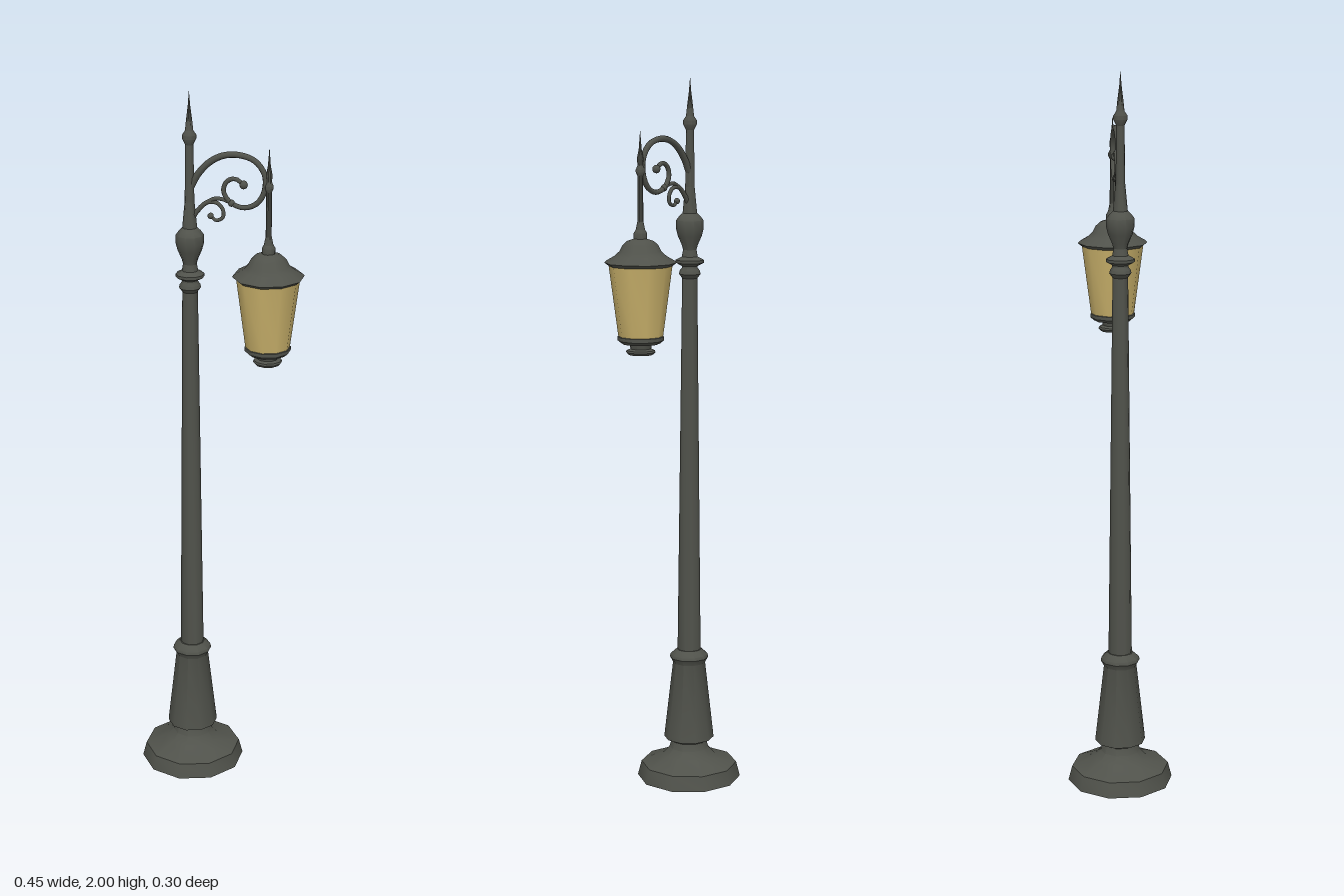
import * as THREE from 'three';
import { toCreasedNormals } from 'three/addons/utils/BufferGeometryUtils.js';

const POST_X = -0.085;
const LAMP_X = 0.132;

const iron = new THREE.MeshStandardMaterial({ color: 0x50524b });
iron.name = 'dark iron';
const glass = new THREE.MeshStandardMaterial({ color: 0xc8b06a });
glass.name = 'amber glass';

export function createModel() {
  const model = new THREE.Group();
  model.name = 'streetLamp';

  const add = (name, geometry, material, x = 0, y = 0) => {
    const mesh = new THREE.Mesh(geometry, material);
    mesh.name = name;
    mesh.position.set(x, y, 0);
    model.add(mesh);
    return mesh;
  };

  // Ten-sided turned part; profile is [radius, height] from bottom to top
  const turned = (name, profile, x, material = iron) => {
    const points = profile.map(([r, y]) => new THREE.Vector2(r, y));
    const geometry = toCreasedNormals(new THREE.LatheGeometry(points, 10), 0.68);
    return add(name, geometry, material, x);
  };

  // Rod bent through [x, y] points, thinning towards its end
  const scroll = (name, points, r0, r1) => {
    const curve = new THREE.CatmullRomCurve3(points.map(([x, y]) => new THREE.Vector3(x, y, 0)));
    const rows = 48, sides = 8;
    const geometry = new THREE.TubeGeometry(curve, rows, 1, sides);
    const pos = geometry.attributes.position;
    const centre = new THREE.Vector3(), p = new THREE.Vector3();
    for (let i = 0; i < pos.count; i++) {
      const t = Math.floor(i / (sides + 1)) / rows;
      curve.getPointAt(t, centre);
      p.fromBufferAttribute(pos, i).sub(centre).multiplyScalar(r0 + (r1 - r0) * t).add(centre);
      pos.setXYZ(i, p.x, p.y, p.z);
    }
    add(name, geometry, iron);
    // Round bead on the curled tip
    const [x, y] = points[points.length - 1];
    add(name + 'Bead', new THREE.SphereGeometry(r1 * 1.9, 10, 8), iron, x, y);
  };

  // Post, from the ground up
  turned('base', [
    [0, 0], [0.148, 0], [0.137, 0.042], [0.075, 0.068], [0.056, 0.088], [0.05, 0.108], [0.056, 0.12], [0, 0.12],
  ], POST_X);
  turned('skirt', [
    [0, 0.118], [0.071, 0.118], [0.07, 0.13], [0.046, 0.342], [0.055, 0.358], [0.053, 0.367],
    [0.036, 0.382], [0, 0.382],
  ], POST_X);
  turned('shaft', [[0.033, 0.375], [0.021, 1.46]], POST_X);
  turned('lowerCollar', [
    [0.021, 1.448], [0.03, 1.46], [0.028, 1.469], [0.022, 1.477], [0.022, 1.482],
    [0.039, 1.491], [0.039, 1.499], [0.022, 1.508], [0.018, 1.53],
  ], POST_X);
  turned('urn', [
    [0.018, 1.525], [0.022, 1.54], [0.033, 1.565], [0.038, 1.585], [0.038, 1.608],
    [0.029, 1.62], [0.02, 1.628], [0.017, 1.66], [0.013, 1.7],
  ], POST_X);
  turned('upperShaft', [[0.013, 1.69], [0.011, 1.86]], POST_X);
  turned('postFinial', [
    [0.01, 1.852], [0.019, 1.87], [0.019, 1.88], [0.011, 1.892], [0.008, 1.92], [0.003, 1.96], [0, 2],
  ], POST_X);

  // Scrolled bracket
  scroll('bracketArm', [
    [-0.08, 1.742], [-0.062, 1.775], [-0.03, 1.81], [0.01, 1.831], [0.055, 1.834], [0.095, 1.82],
    [0.12, 1.785], [0.119, 1.74], [0.098, 1.706], [0.062, 1.693], [0.026, 1.706],
    [0.008, 1.735], [0.018, 1.762], [0.04, 1.77], [0.063, 1.755],
  ], 0.0095, 0.006);
  scroll('bracketBrace', [
    [-0.08, 1.65], [-0.062, 1.677], [-0.035, 1.701], [-0.008, 1.7], [0.007, 1.682],
    [0.006, 1.662], [-0.012, 1.653], [-0.027, 1.664],
  ], 0.007, 0.0045);
  scroll('scrollLink', [[-0.04, 1.699], [-0.015, 1.712], [0.005, 1.712], [0.03, 1.703]], 0.006, 0.005);

  // Hanging lantern
  turned('hangerRod', [
    [0.013, 1.595], [0.008, 1.62], [0.0075, 1.74], [0.012, 1.75], [0.012, 1.757],
    [0.007, 1.768], [0.009, 1.785], [0.004, 1.81], [0, 1.862],
  ], LAMP_X);
  turned('lanternRoof', [
    [0, 1.5], [0.086, 1.5], [0.0975, 1.509], [0.093, 1.514], [0.07, 1.527], [0.056, 1.54],
    [0.048, 1.556], [0.036, 1.567], [0.018, 1.573], [0.018, 1.588], [0.012, 1.598], [0, 1.6],
  ], LAMP_X);
  turned('lanternGlass', [[0.06, 1.305], [0.086, 1.502]], LAMP_X, glass);
  turned('lanternFoot', [
    [0, 1.26], [0.034, 1.26], [0.04, 1.267], [0.038, 1.272], [0.028, 1.276], [0.03, 1.287],
    [0.052, 1.29], [0.063, 1.299], [0.063, 1.309], [0.058, 1.312], [0, 1.312],
  ], LAMP_X);

  return model;
}
